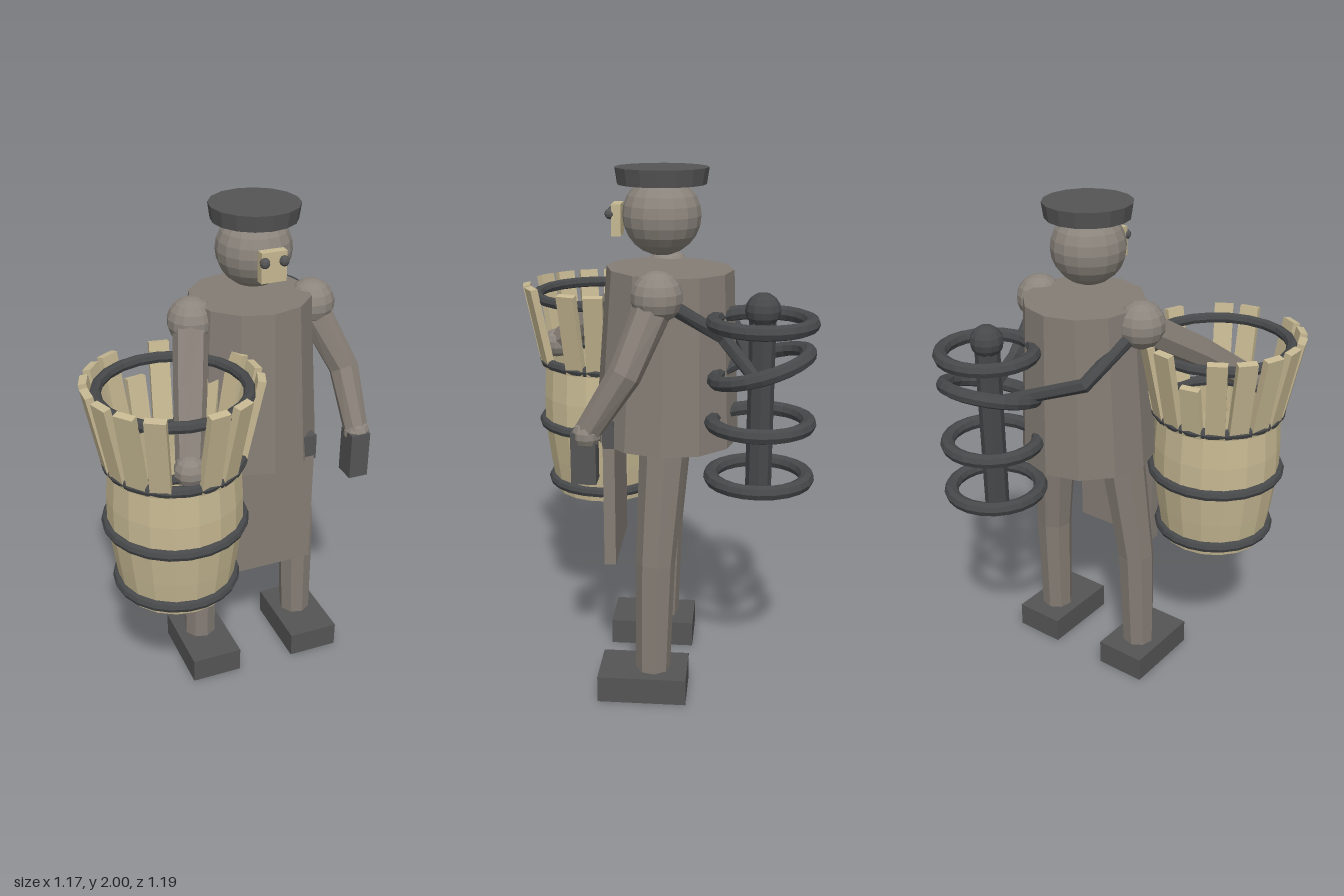
import * as THREE from 'three';

const mat = (name, color, side = THREE.FrontSide) => {
  const m = new THREE.MeshStandardMaterial({ color, flatShading: true, side });
  m.name = name;
  return m;
};

export function createModel() {
  const cloth = mat('warm grey cloth', 0x857d75);
  const skin = mat('light warm grey', 0x8c857d);
  const dark = mat('dark grey', 0x555555);
  const iron = mat('iron', 0x46484a);
  const wood = mat('pale wood', 0xc6b892, THREE.DoubleSide);

  const root = new THREE.Group();
  root.name = 'workerWithBasket';

  const add = (name, geo, material, x = 0, y = 0, z = 0, parent = root) => {
    const m = new THREE.Mesh(geo, material);
    m.name = name;
    m.position.set(x, y, z);
    parent.add(m);
    return m;
  };
  const box = (name, w, h, d, material, x, y, z, parent) =>
    add(name, new THREE.BoxGeometry(w, h, d), material, x, y, z, parent);
  const ball = (name, r, material, x, y, z, w = 14, h = 9) =>
    add(name, new THREE.SphereGeometry(r, w, h), material, x, y, z);
  const hoop = (name, R, r, x, y, z, parent) => {
    const m = add(name, new THREE.TorusGeometry(R, r, 8, 22), iron, x, y, z, parent);
    m.rotation.x = Math.PI / 2;
    return m;
  };

  // Tapered limb through [x, y, z, radius] points, with mitred joints and closed ends
  const limb = (name, pts, material, sides = 8) => {
    const P = pts.map(p => new THREE.Vector3(p[0], p[1], p[2]));
    const pos = [], idx = [];
    P.forEach((p, i) => {
      const t = new THREE.Vector3();
      if (i > 0) t.add(p.clone().sub(P[i - 1]).normalize());
      if (i < P.length - 1) t.add(P[i + 1].clone().sub(p).normalize());
      t.normalize();
      const u = new THREE.Vector3(0.15, 0, 1).cross(t).normalize();
      const v = t.clone().cross(u);
      for (let k = 0; k < sides; k++) {
        const a = (k / sides) * Math.PI * 2;
        const q = p.clone().addScaledVector(u, Math.cos(a) * pts[i][3]).addScaledVector(v, Math.sin(a) * pts[i][3]);
        pos.push(q.x, q.y, q.z);
        if (i < P.length - 1) {
          const b = i * sides, n = (k + 1) % sides;
          idx.push(b + k, b + n, b + sides + n, b + k, b + sides + n, b + sides + k);
        }
      }
    });
    const last = (P.length - 1) * sides;
    for (let k = 1; k < sides - 1; k++) idx.push(0, k + 1, k, last, last + k, last + k + 1);
    const g = new THREE.BufferGeometry();
    g.setAttribute('position', new THREE.Float32BufferAttribute(pos, 3));
    g.setIndex(idx);
    g.computeVertexNormals();
    return add(name, g, material);
  };

  const cx = 0.167;

  // Head, cap and face
  ball('head', 0.145, skin, cx, 1.828, -0.015, 16, 12);
  add('cap', new THREE.CylinderGeometry(0.172, 0.163, 0.06, 16), dark, cx, 1.97, -0.015);
  box('facePlate', 0.1, 0.115, 0.035, wood, 0.17, 1.813, 0.147);
  for (const s of [-1, 1]) ball('eye', 0.02, dark, 0.168 + s * 0.038, 1.835, 0.17, 8, 6);

  // Coat, belt and apron
  const coat = add('coat', new THREE.CylinderGeometry(0.237, 0.275, 0.65, 12), cloth, cx, 1.312, -0.04);
  coat.rotation.x = -0.02;
  box('belt', 0.39, 0.105, 0.044, dark, 0.17, 1.043, 0.168);
  box('apron', 0.38, 0.49, 0.044, cloth, 0.167, 0.76, 0.168);

  // Legs and feet
  for (const s of [-1, 1]) {
    limb('leg', [
      [cx + s * 0.17, 1.04, -0.04, 0.092],
      [cx + s * 0.222, 0.55, -0.01, 0.075],
      [cx + s * 0.23, 0.08, 0, 0.066]], cloth);
    box('foot', 0.212, 0.105, 0.34, dark, cx + s * 0.228, 0.0525, 0.036);
  }

  // Arms
  for (const s of [-1, 1]) ball('shoulder', 0.093, skin, cx + s * 0.248, 1.575, -0.018);
  limb('leftArm', [
    [0.415, 1.56, -0.015, 0.07], [0.522, 1.32, 0.085, 0.06], [0.52, 1.1, 0.225, 0.048]], cloth);
  ball('leftHand', 0.053, skin, 0.522, 1.1, 0.222, 10, 7);
  box('heldBlock', 0.08, 0.19, 0.09, dark, 0.515, 1.015, 0.232);
  limb('rightArm', [
    [-0.085, 1.56, -0.015, 0.068], [-0.18, 1.405, 0.23, 0.062], [-0.268, 1.245, 0.455, 0.05]], cloth);
  ball('rightHand', 0.06, skin, -0.27, 1.235, 0.465, 10, 7);

  // Open barrel with flaring staves
  const basket = new THREE.Group();
  basket.name = 'basket';
  basket.position.set(-0.258, 0, 0.262);
  root.add(basket);
  const wall = [[0, 0.615], [0.215, 0.61], [0.238, 0.76], [0.258, 0.915], [0.258, 1.03], [0.247, 1.19]]
    .map(p => new THREE.Vector2(...p));
  add('barrel', new THREE.LatheGeometry(wall, 18), wood, 0, 0, 0, basket);
  for (const [R, y] of [[0.225, 0.655], [0.258, 0.915], [0.25, 1.18], [0.275, 1.45]])
    hoop('barrelHoop', R, 0.022, 0, y, 0, basket);
  for (let i = 0; i < 18; i++) {
    if (i === 2 || i === 5) continue;
    const h = i === 13 ? 0.22 : 0.34;
    const stave = new THREE.Group();
    stave.name = 'stave';
    stave.position.y = 1.16;
    stave.rotation.y = Math.PI / 2 - (i / 18) * Math.PI * 2;
    basket.add(stave);
    const plank = box('plank', 0.076, h, 0.03, wood, 0, h / 2, 0.247 + h * 0.1, stave);
    plank.rotation.x = 0.2;
  }

  // Post with rings carried on the back
  const px = 0.358, pz = -0.39;
  add('post', new THREE.CylinderGeometry(0.048, 0.048, 0.72, 8), iron, px, 1.18, pz);
  ball('postKnob', 0.064, iron, px, 1.523, pz, 12, 8);
  for (const y of [1.48, 1.32, 1.11, 0.9]) {
    const ring = hoop('backRing', 0.177, 0.028, px, y, pz);
    if (y === 1.32) ring.rotation.x += 0.3;
  }

  // Struts from the shoulders to the post
  limb('strut', [[-0.075, 1.56, -0.04, 0.03], [-0.01, 1.4, -0.275, 0.028], [0.35, 1.27, pz, 0.026]], iron, 6);
  limb('strut', [[0.41, 1.56, -0.04, 0.03], [0.35, 1.42, -0.25, 0.028], [0.4, 1.27, -0.38, 0.026]], iron, 6);

  return root;
}
